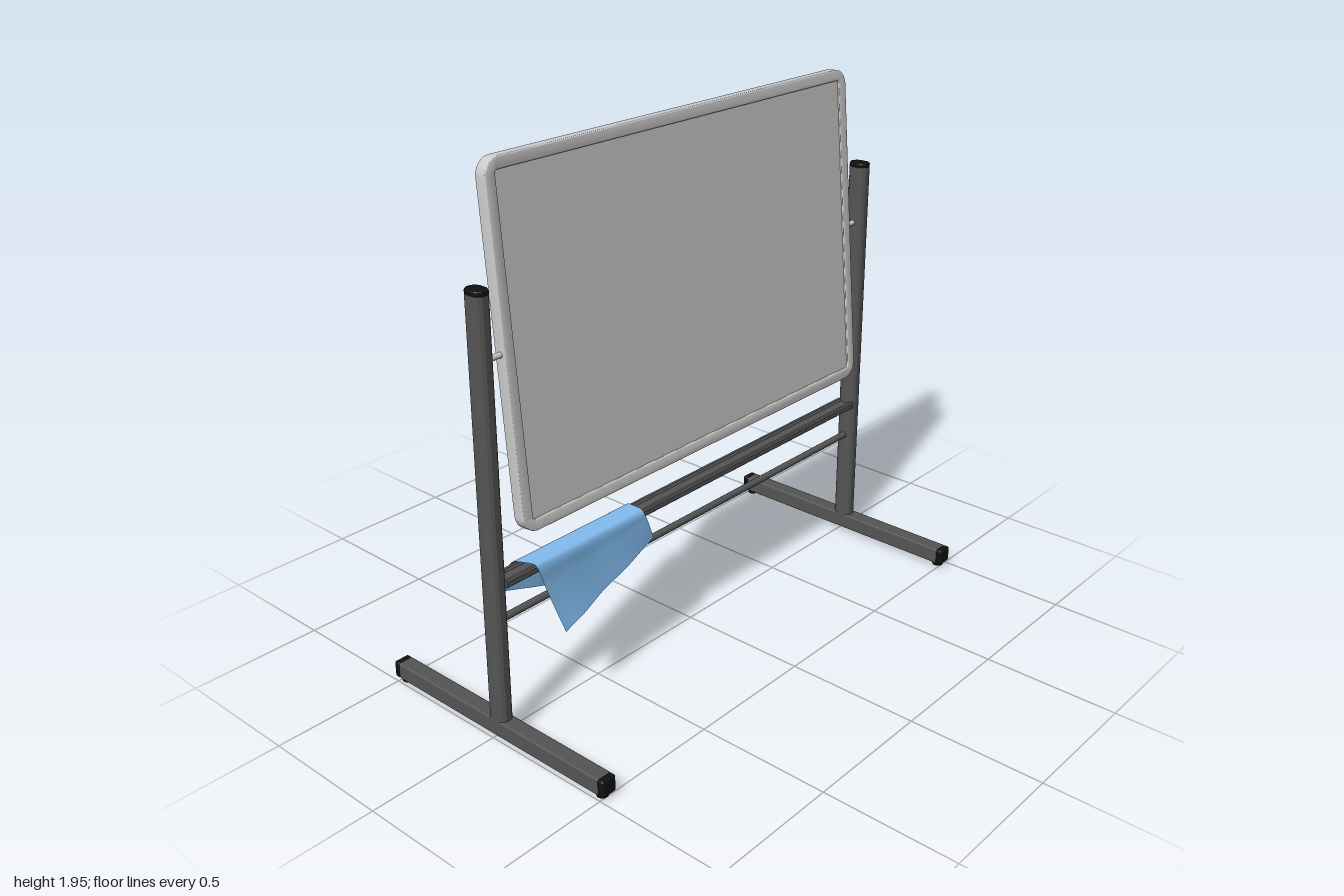
import * as THREE from 'three';
import { toCreasedNormals } from 'three/addons/utils/BufferGeometryUtils.js';
import { RoundedBoxGeometry } from 'three/addons/geometries/RoundedBoxGeometry.js';

const material = (color, side = THREE.FrontSide) => new THREE.MeshStandardMaterial({ color, side });
const grey = material(0xcccccc);
const steel = material(0x555555);
const rubber = material(0x111111);
const fabric = material(0x82bdf0, THREE.DoubleSide);

const POST_Z = 0.013;

function addMesh(parent, name, geometry, mat, x = 0, y = 0, z = 0) {
  const mesh = new THREE.Mesh(geometry, mat);
  mesh.name = name;
  mesh.position.set(x, y, z);
  parent.add(mesh);
  return mesh;
}

// Rounded rectangle centred on the origin, usable as a shape or a hole
function roundedRect(Type, w, h, r) {
  const p = new Type(), x = w / 2, y = h / 2;
  p.moveTo(x, -y + r);
  p.lineTo(x, y - r);
  p.absarc(x - r, y - r, r, 0, Math.PI / 2);
  p.lineTo(-x + r, y);
  p.absarc(-x + r, y - r, r, Math.PI / 2, Math.PI);
  p.lineTo(-x, -y + r);
  p.absarc(-x + r, -y + r, r, Math.PI, Math.PI * 1.5);
  p.lineTo(x - r, -y);
  p.absarc(x - r, -y + r, r, Math.PI * 1.5, Math.PI * 2);
  return p;
}

// Extrusion centred along its depth; the bevel stays inside the outline and depth
function extrude(shape, depth, bevel = 0) {
  const geometry = new THREE.ExtrudeGeometry(shape, {
    depth: depth - 2 * bevel, curveSegments: 10, bevelEnabled: bevel > 0,
    bevelThickness: bevel, bevelSize: bevel, bevelOffset: -bevel, bevelSegments: 3,
  });
  geometry.translate(0, 0, -depth / 2 + bevel);
  return toCreasedNormals(geometry, 0.6);
}

// Upright with its foot, end caps and pads; side is +1 or -1
function createStand(side) {
  const stand = new THREE.Group();
  stand.name = side > 0 ? 'leftStand' : 'rightStand';
  stand.position.x = side * 0.97;

  const oval = roundedRect(THREE.Shape, 0.06, 0.08, 0.0299);
  const post = extrude(oval, 1.495).rotateX(-Math.PI / 2);
  addMesh(stand, 'post', post, steel, 0, 0.8225, POST_Z);
  const cap = extrude(oval, 0.018, 0.006).rotateX(-Math.PI / 2);
  addMesh(stand, 'postCap', cap, rubber, 0, 1.577, POST_Z);

  addMesh(stand, 'foot', new RoundedBoxGeometry(0.06, 0.062, 0.985, 3, 0.007), steel, 0, 0.046, 0);
  for (const end of [1, -1]) {
    addMesh(stand, 'footCap', new RoundedBoxGeometry(0.061, 0.063, 0.028, 3, 0.009), rubber, 0, 0.046, end * 0.501);
    addMesh(stand, 'footPad', new THREE.CylinderGeometry(0.023, 0.02, 0.018, 20), rubber, 0, 0.009, end * 0.482);
  }

  // Rod that carries the board
  const rod = new THREE.CylinderGeometry(0.01, 0.01, 0.07, 16).rotateZ(Math.PI / 2);
  addMesh(stand, 'pivotRod', rod, grey, -side * 0.06, 1.35, POST_Z);
  return stand;
}

// Tilted board: rounded frame around a panel recessed on both faces
function createBoard() {
  const board = new THREE.Group();
  board.name = 'board';
  board.position.set(0, 1.35, POST_Z);
  board.rotation.x = -THREE.MathUtils.degToRad(5);
  const frame = roundedRect(THREE.Shape, 1.782, 1.208, 0.06);
  frame.holes.push(roundedRect(THREE.Path, 1.7, 1.126, 0.012));
  addMesh(board, 'boardFrame', extrude(frame, 0.046, 0.004), grey);
  addMesh(board, 'boardPanel', new THREE.BoxGeometry(1.72, 1.146, 0.03), grey);
  return board;
}

// Tray with a raised lip at both edges, and the thin bar under it
function createRails(parent) {
  const half = [[0, -0.014], [0.034, -0.014], [0.039, -0.009], [0.039, 0.009], [0.034, 0.014], [0.024, 0.014], [0.019, 0.005]];
  const mirrored = half.slice(1).reverse().map(([x, y]) => [-x, y]);
  const profile = new THREE.Shape([...half, ...mirrored].map(([x, y]) => new THREE.Vector2(x, y)));
  addMesh(parent, 'tray', extrude(profile, 1.89).rotateY(Math.PI / 2), steel, 0, 0.583, POST_Z);
  const bar = new THREE.CylinderGeometry(0.013, 0.013, 1.89, 20).rotateZ(Math.PI / 2);
  addMesh(parent, 'lowerBar', bar, steel, 0, 0.442, POST_Z);
}

// Cloth folded over the tray, lofted through rows running from front hem to back hem
function createCloth() {
  // Each row: right end then left end as x, y, z
  const rows = [
    [-0.74, 0.33, 0.098, -0.27, 0.48, 0.064],
    [-0.765, 0.42, 0.077, -0.283, 0.52, 0.063],
    [-0.795, 0.52, 0.062, -0.297, 0.562, 0.06],
    [-0.816, 0.588, 0.057, -0.308, 0.59, 0.057],
    [-0.821, 0.602, 0.048, -0.31, 0.602, 0.048],
    [-0.838, 0.605, 0.013, -0.31, 0.605, 0.013],
    [-0.855, 0.602, -0.022, -0.312, 0.602, -0.022],
    [-0.862, 0.588, -0.031, -0.317, 0.588, -0.031],
    [-0.872, 0.555, -0.034, -0.345, 0.52, -0.04],
    [-0.881, 0.53, -0.036, -0.383, 0.435, -0.047],
    [-0.89, 0.5, -0.038, -0.42, 0.35, -0.037],
  ];
  const curve = (i) => new THREE.CatmullRomCurve3(rows.map((r) => new THREE.Vector3(r[i], r[i + 1], r[i + 2])));
  const rightEdge = curve(0), leftEdge = curve(3);
  const geometry = new THREE.PlaneGeometry(1, 1, 24, 60);
  const pos = geometry.attributes.position, uv = geometry.attributes.uv;
  const p = new THREE.Vector3();
  for (let i = 0; i < pos.count; i++) {
    const u = uv.getX(i), v = uv.getY(i);
    p.lerpVectors(rightEdge.getPoint(v), leftEdge.getPoint(v), u);
    // Soft wrinkles growing towards the hems
    const hang = Math.max(0, 0.58 - p.y) / 0.25;
    p.z += 0.006 * hang * Math.sin(u * 11 + v * 5) * Math.sin(Math.PI * u);
    pos.setXYZ(i, p.x, p.y, p.z);
  }
  geometry.computeVertexNormals();
  return geometry;
}

export function createModel() {
  const model = new THREE.Group();
  model.name = 'whiteboardStand';
  model.add(createStand(1), createStand(-1), createBoard());
  createRails(model);
  addMesh(model, 'cloth', createCloth(), fabric);
  return model;
}
